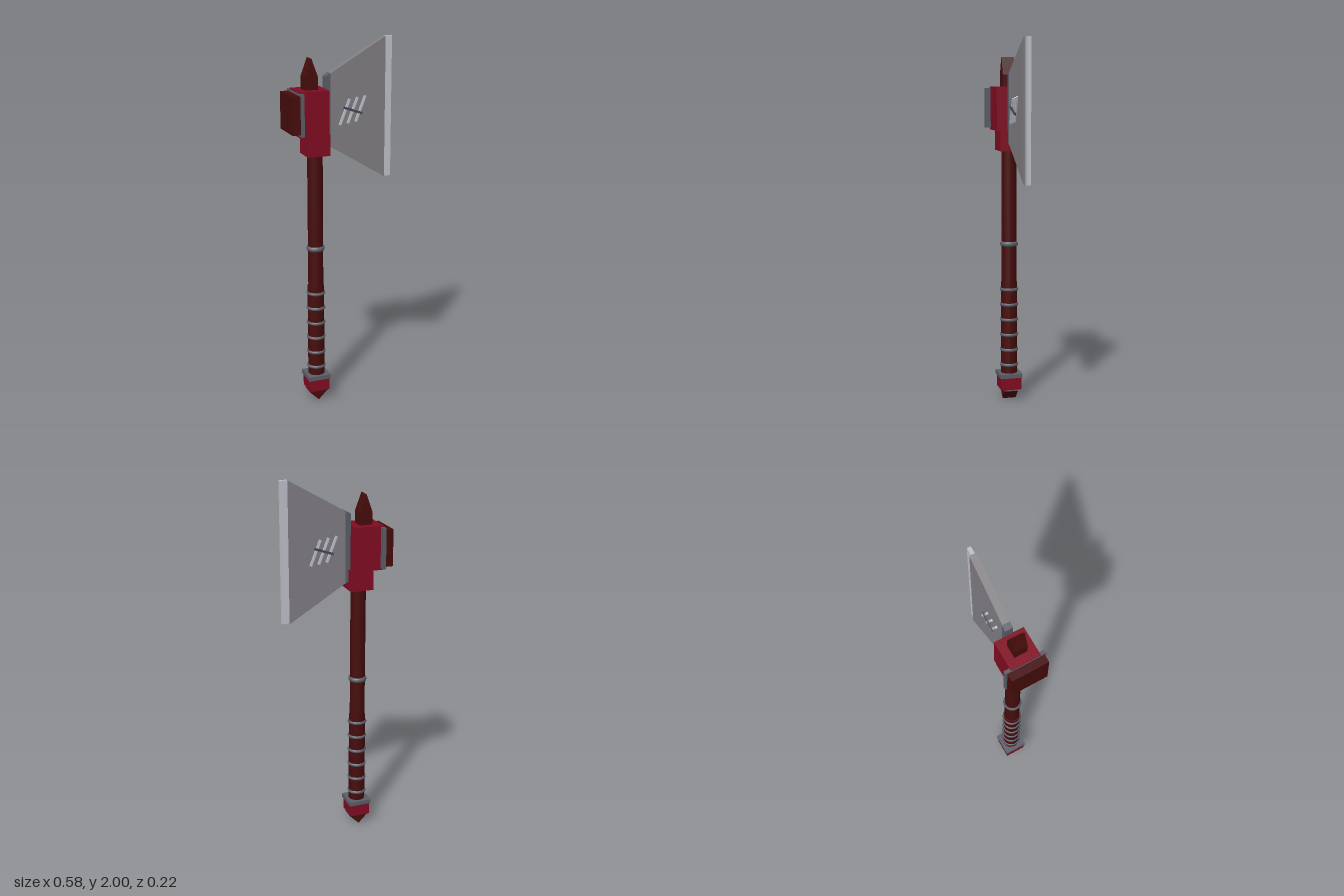
import * as THREE from 'three';

const mat = (name, color) => {
  const m = new THREE.MeshStandardMaterial({ color });
  m.name = name;
  return m;
};

export function createModel() {
  const crimson = mat('crimson', 0x820c22);
  const darkWood = mat('dark red wood', 0x470c0c);
  const iron = mat('iron', 0x5b5e67);
  const steel = mat('blade steel', 0x807e82);
  const bright = mat('bright steel', 0xbec2c9);
  const slate = mat('slate', 0x48465a);

  const axe = new THREE.Group();
  axe.name = 'battleAxe';
  const shaftX = -0.1375;

  const add = (name, geo, material, x = 0, y = 0, z = 0, parent = axe) => {
    const m = new THREE.Mesh(geo, material);
    m.name = name;
    m.position.set(x, y, z);
    parent.add(m);
    return m;
  };
  // Box given by its extents in x and y and its full depth
  const box = (name, material, x0, x1, y0, y1, depth) =>
    add(name, new THREE.BoxGeometry(x1 - x0, y1 - y0, depth), material, (x0 + x1) / 2, (y0 + y1) / 2);
  // Outline in the xy plane, extruded evenly about z = 0
  const plate = (name, material, points, depth) => {
    const shape = new THREE.Shape(points.map(([x, y]) => new THREE.Vector2(x, y)));
    const geo = new THREE.ExtrudeGeometry(shape, { depth, bevelEnabled: false });
    return add(name, geo.translate(0, 0, -depth / 2), material);
  };

  // Shaft and thicker grip
  add('shaft', new THREE.CylinderGeometry(0.041, 0.041, 0.75, 20), darkWood, shaftX, 1.035);
  add('grip', new THREE.CylinderGeometry(0.045, 0.045, 0.54, 20), darkWood, shaftX, 0.4);

  // Rings round the grip and the shaft
  const ring = (name, y, radius, height) => {
    const m = add(name, new THREE.TorusGeometry(radius - 0.01, 0.01, 8, 24), iron, shaftX, y);
    m.rotation.x = Math.PI / 2;
    m.scale.z = height / 0.02;
  };
  for (let i = 0; i < 6; i++) ring('gripRing', 0.2 + i * 0.086, 0.052, 0.02);
  ring('shaftRing', 0.885, 0.05, 0.028);

  // Pommel with a wedge tip
  box('pommelCollar', iron, shaftX - 0.063, shaftX + 0.063, 0.13, 0.153, 0.126);
  box('pommel', crimson, shaftX - 0.056, shaftX + 0.056, 0.062, 0.131, 0.114);
  const tip = add('pommelTip', new THREE.BoxGeometry(0.076, 0.076, 0.076), darkWood, shaftX, 0.0537);
  tip.rotation.z = Math.PI / 4;

  // Head block, neck and rear hammer face
  box('neck', crimson, -0.198, -0.073, 1.4, 1.512, 0.125);
  box('headBlock', crimson, -0.246, -0.085, 1.51, 1.745, 0.16);
  box('hammerPlate', iron, -0.248, -0.23, 1.52, 1.738, 0.22);
  box('hammerFace', darkWood, -0.291, -0.247, 1.53, 1.727, 0.2);

  // Ridged spike on top
  plate('topSpike', darkWood,
    [[-0.2, 1.73], [-0.13, 1.73], [-0.13, 1.81], [-0.165, 1.905], [-0.2, 1.81]], 0.07);

  // Flaring blade, its mount and its cutting edge
  plate('blade', steel, [[-0.075, 1.449], [0.25, 1.25], [0.25, 2], [-0.075, 1.811]], 0.038);
  plate('bladeMount', iron, [[-0.086, 1.453], [-0.057, 1.436], [-0.057, 1.824], [-0.086, 1.807]], 0.043);
  box('cuttingEdge', bright, 0.25, 0.29, 1.25, 2, 0.02);

  // Crossed scratch bars on both sides of the blade
  for (const turn of [0, Math.PI]) {
    const marks = new THREE.Group();
    marks.name = turn ? 'backMarks' : 'frontMarks';
    marks.position.set(0.065, 1.624, 0);
    marks.rotation.y = turn;
    axe.add(marks);
    for (const i of [-1, 0, 1]) {
      const bar = add('lightBar', new THREE.BoxGeometry(0.012, 0.145, 0.009), bright, i * 0.044, i * 0.006, 0.0235, marks);
      bar.rotation.z = -0.38;
    }
    const cross = add('crossBar', new THREE.BoxGeometry(0.108, 0.012, 0.009), slate, 0, 0, 0.029, marks);
    cross.rotation.z = -0.34;
  }
  return axe;
}
